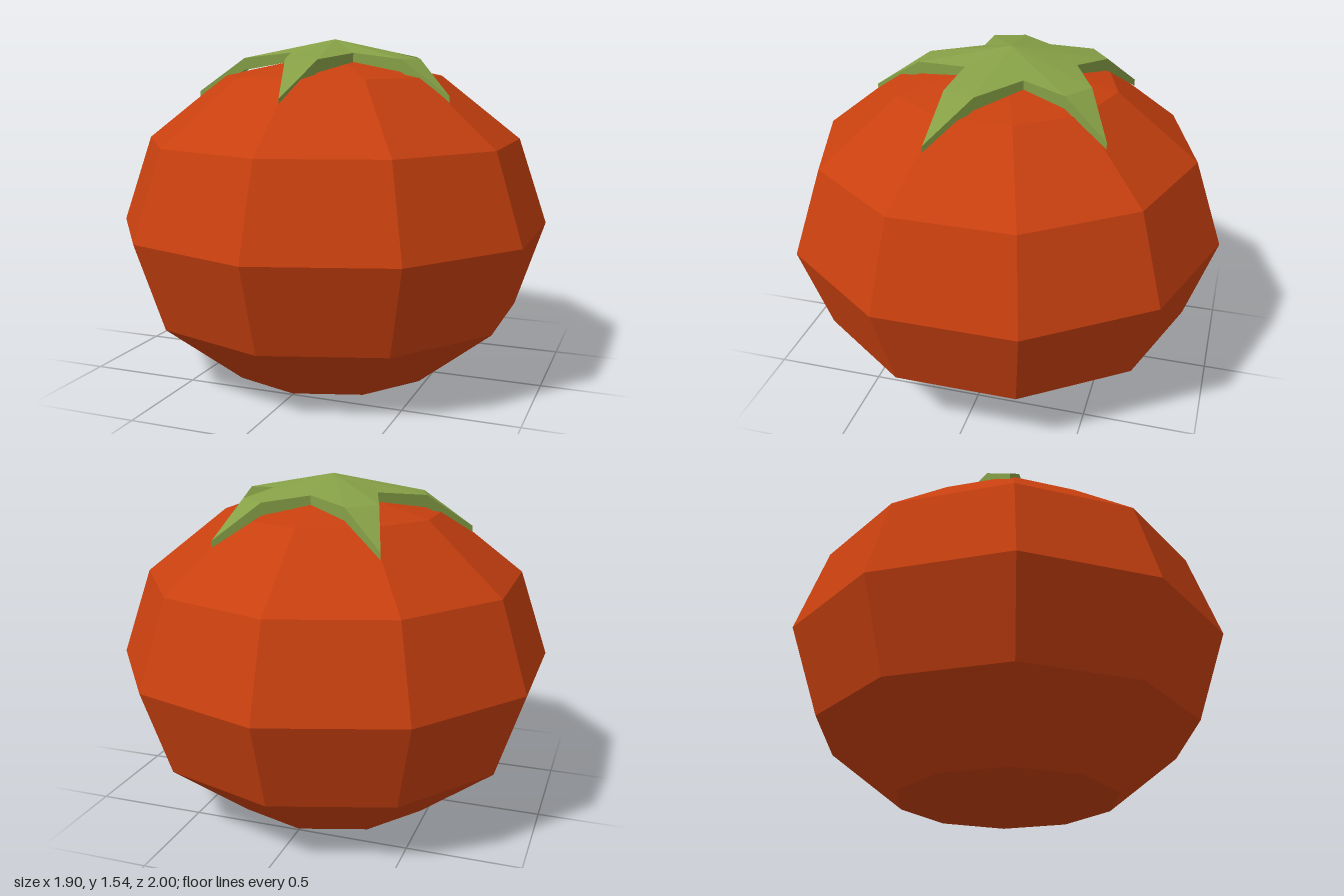
import * as THREE from 'three';

const tomatoRed = new THREE.MeshStandardMaterial({ name: 'tomatoRed', color: 0xc8400f });
const leafGreen = new THREE.MeshStandardMaterial({ name: 'leafGreen', color: 0x86a046 });

// Give every face its own normal for the faceted look
function faceted(geometry) {
  const flat = geometry.index ? geometry.toNonIndexed() : geometry;
  flat.computeVertexNormals();
  return flat;
}

// Ten-sided squashed sphere with a flattened underside
function createFruit() {
  const profile = [
    [0, 0], [0.5, 0.005], [0.866, 0.295], [1, 0.69],
    [0.866, 1.085], [0.5, 1.375], [0, 1.48],
  ].map(([r, y]) => new THREE.Vector2(r, y));
  const mesh = new THREE.Mesh(faceted(new THREE.LatheGeometry(profile, 10)), tomatoRed);
  mesh.name = 'fruit';
  return mesh;
}

// Five-pointed leaf star, bent down over the shoulder of the fruit
function createLeafStar() {
  const polar = (r, degrees, y, z0) => {
    const a = THREE.MathUtils.degToRad(degrees);
    return new THREE.Vector3(r * Math.sin(a), y, r * Math.cos(a) + z0);
  };
  const tip = (i) => polar(0.63, i * 72, 1.3, -0.01);
  const valley = (i) => polar(0.255, i * 72 + 36, 1.48, -0.06);
  const bend = (a, b) => a.clone().lerp(b, 0.5).setY(1.455);

  // Outline per arm: tip, bend, valley, bend
  const top = [];
  for (let i = 0; i < 5; i++) {
    top.push(tip(i), bend(tip(i), valley(i)), valley(i), bend(valley(i), tip(i + 1)));
  }
  const drops = [0.03, 0.055, 0.04, 0.055];
  const bottom = top.map((p, i) => p.clone().setY(p.y - drops[i % 4]));
  const topCentre = new THREE.Vector3(0, 1.54, -0.02);
  const bottomCentre = new THREE.Vector3(0, 1.49, -0.02);

  const points = [];
  const n = top.length;
  for (let i = 0; i < n; i++) {
    const j = (i + 1) % n;
    // Rim
    points.push(top[i], bottom[i], bottom[j], top[i], bottom[j], top[j]);
    if (i % 4 === 0) {
      // Arm: inner face and bent tip
      const h = (i + n - 1) % n;
      points.push(topCentre, top[h], top[j], top[h], top[i], top[j]);
      points.push(bottomCentre, bottom[j], bottom[h], bottom[h], bottom[j], bottom[i]);
    } else if (i % 4 !== 3) {
      // Faces on either side of a valley
      points.push(topCentre, top[i], top[j], bottomCentre, bottom[j], bottom[i]);
    }
    if (i % 4 === 2) continue;
  }
  const mesh = new THREE.Mesh(faceted(new THREE.BufferGeometry().setFromPoints(points)), leafGreen);
  mesh.name = 'leafStar';
  return mesh;
}

export function createModel() {
  const group = new THREE.Group();
  group.name = 'tomato';
  group.add(createFruit(), createLeafStar());
  return group;
}
